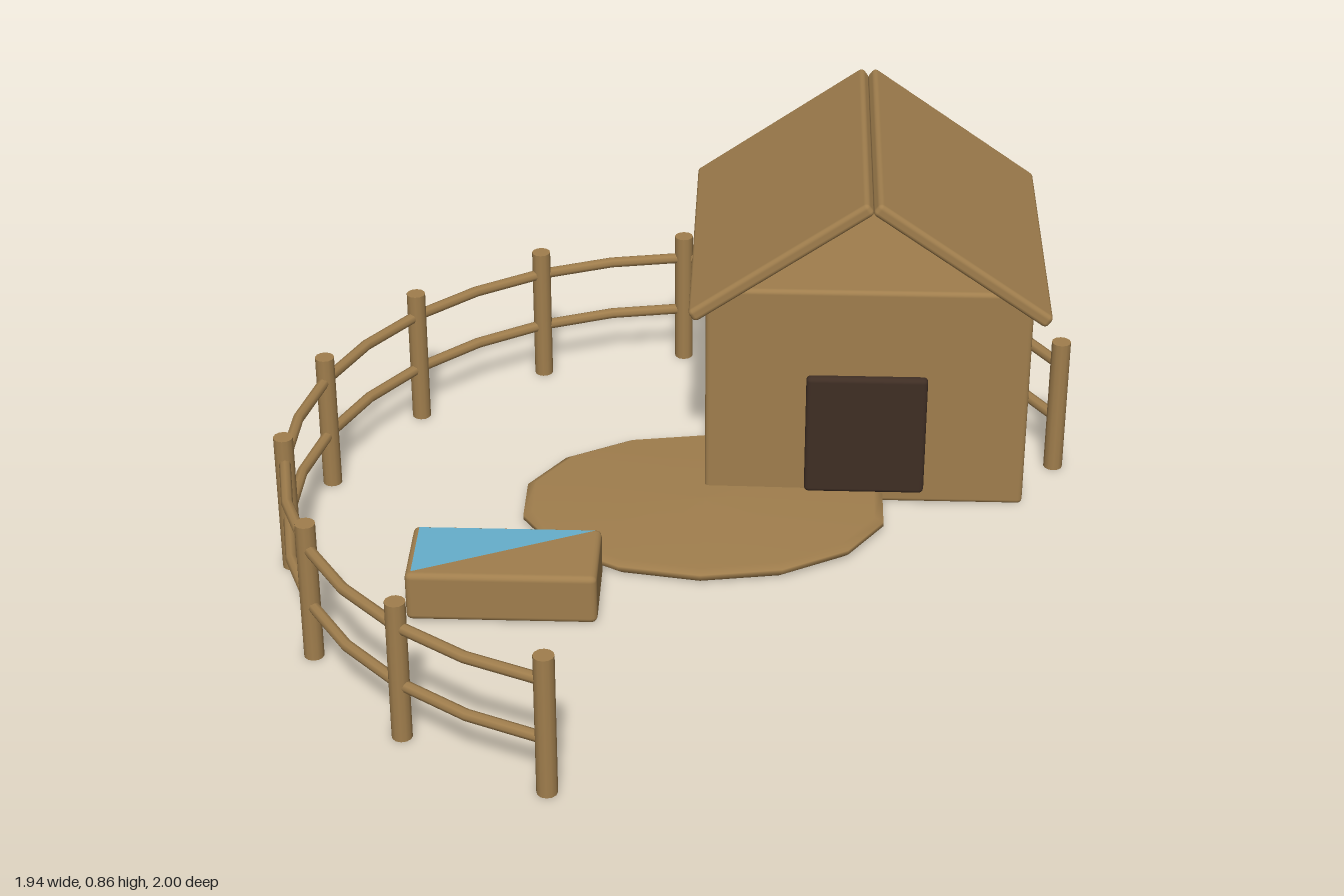
import * as THREE from 'three';
import { RoundedBoxGeometry } from 'three/addons/geometries/RoundedBoxGeometry.js';

const wood = new THREE.MeshStandardMaterial({ name: 'wood brown', color: 0xa07e4d });
const dark = new THREE.MeshStandardMaterial({ name: 'doorway dark', color: 0x3f2e24 });
const water = new THREE.MeshStandardMaterial({ name: 'water blue', color: 0x66aecb });

function add(parent, name, geometry, material, x = 0, y = 0, z = 0) {
  const mesh = new THREE.Mesh(geometry, material);
  mesh.name = name;
  mesh.position.set(x, y, z);
  parent.add(mesh);
  return mesh;
}

const block = (w, h, d, r = 0.012) => new RoundedBoxGeometry(w, h, d, 2, r);

// Hut: plain block walls, dark doorway and an open-gabled two-panel roof
function buildHut() {
  const hut = new THREE.Group();
  hut.name = 'hut';
  hut.position.set(0.45, 0, -0.575);
  add(hut, 'walls', block(0.8, 0.6, 0.665), wood, 0, 0.3, 0);
  add(hut, 'doorway', block(0.3, 0.33, 0.03), dark, 0, 0.2, 0.335);
  for (const side of [-1, 1]) {
    const panel = add(hut, side < 0 ? 'rightRoofPanel' : 'leftRoofPanel',
      block(0.525, 0.035, 0.795), wood, side * 0.22, 0.703, -0.005);
    panel.rotation.z = -side * 0.613;
  }
  return hut;
}

// Fence: evenly spaced posts on an arc, joined by two rails
function buildFence() {
  const fence = new THREE.Group();
  fence.name = 'fence';
  const step = THREE.MathUtils.degToRad(22.5);
  const start = THREE.MathUtils.degToRad(-72);
  const onArc = (i, y) => new THREE.Vector3(
    0.05 - Math.cos(start + i * step), y, 0.02 - Math.sin(start + i * step));

  const postGeometry = new THREE.CylinderGeometry(0.024, 0.024, 0.365, 12);
  for (let i = 0; i <= 10; i++) {
    const p = onArc(i, 0.1825);
    add(fence, 'post', postGeometry, wood, p.x, p.y, p.z);
  }

  // Each rail is a chain of straight chords, two per bay
  for (const y of [0.145, 0.3]) {
    const path = new THREE.CurvePath();
    for (let i = 0; i < 20; i++) path.add(new THREE.LineCurve3(onArc(i / 2, y), onArc((i + 1) / 2, y)));
    add(fence, y < 0.2 ? 'lowerRail' : 'upperRail', new THREE.TubeGeometry(path, 20, 0.014, 8), wood);
  }
  return fence;
}

// Trough: solid block with a water surface over the back right half of its top
function buildTrough() {
  const trough = new THREE.Group();
  trough.name = 'trough';
  trough.position.set(-0.415, 0, 0.22);
  add(trough, 'basin', block(0.455, 0.13, 0.22, 0.015), wood, 0, 0.067, 0);
  const surface = new THREE.BufferGeometry().setFromPoints([
    new THREE.Vector3(-0.213, 0, -0.096),
    new THREE.Vector3(-0.213, 0, 0.096),
    new THREE.Vector3(0.213, 0, -0.096),
  ]);
  surface.computeVertexNormals();
  add(trough, 'waterSurface', surface, water, 0, 0.134, 0);
  return trough;
}

// Mud patch: low 14-sided oval disc with a softened rim
function buildMud() {
  const profile = [[0, 0], [0.96, 0], [1, 0.012], [1, 0.024], [0.95, 0.035], [0, 0.04]]
    .map(([r, y]) => new THREE.Vector2(r, y));
  const mud = new THREE.Mesh(new THREE.LatheGeometry(profile, 14), wood);
  mud.name = 'mudPatch';
  mud.scale.set(0.46, 1, 0.328);
  mud.position.set(0.05, 0, -0.183);
  return mud;
}

export function createModel() {
  const model = new THREE.Group();
  model.name = 'animalPen';
  model.add(buildHut(), buildFence(), buildTrough(), buildMud());
  return model;
}
